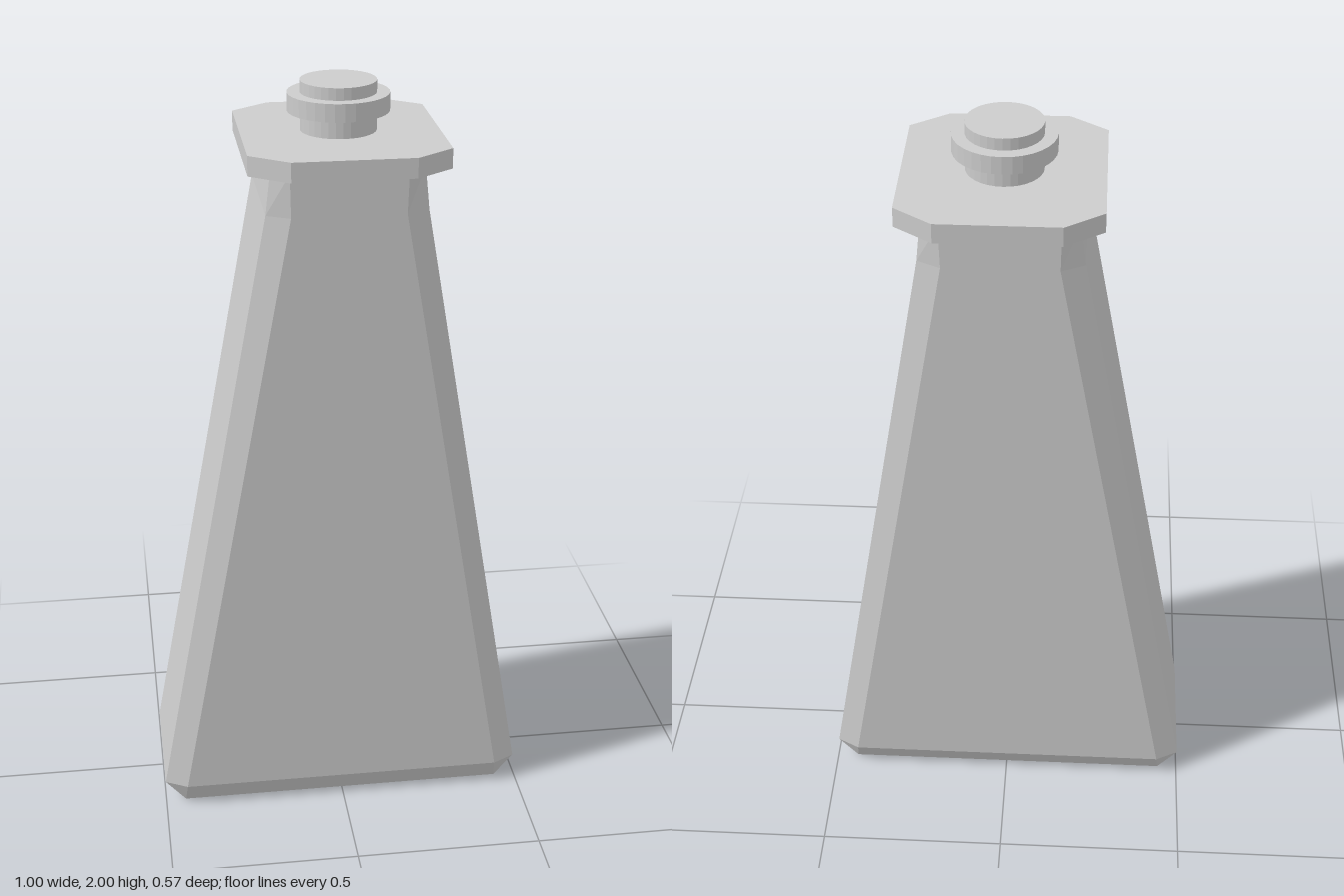
import * as THREE from 'three';

const AXIS = 0.012; // the neck sits slightly off the body's middle

// Rectangle with cut corners, as eight [x, y, z] points
function ring(y, x0, x1, z, cutX, cutZ) {
  return [
    [x1, y, -z + cutZ], [x1, y, z - cutZ], [x1 - cutX, y, z], [x0 + cutX, y, z],
    [x0, y, z - cutZ], [x0, y, -z + cutZ], [x0 + cutX, y, -z], [x1 - cutX, y, -z],
  ];
}

// Closed, flat-faced solid through rings listed from bottom to top
function loft(rings) {
  const pos = [];
  const same = (p, q) => p.every((v, k) => Math.abs(v - q[k]) < 1e-6);
  const tri = (a, b, c) => {
    if (!same(a, b) && !same(b, c) && !same(a, c)) pos.push(...a, ...b, ...c);
  };
  for (let r = 0; r < rings.length - 1; r++) {
    const a = rings[r], b = rings[r + 1];
    for (let i = 0; i < 8; i++) {
      const j = (i + 1) % 8;
      tri(a[i], b[i], a[j]);
      tri(b[i], b[j], a[j]);
    }
  }
  const bottom = rings[0], top = rings[rings.length - 1];
  for (let i = 1; i < 7; i++) {
    tri(bottom[0], bottom[i], bottom[i + 1]);
    tri(top[0], top[i + 1], top[i]);
  }
  const geo = new THREE.BufferGeometry();
  geo.setAttribute('position', new THREE.Float32BufferAttribute(pos, 3));
  geo.computeVertexNormals();
  return geo;
}

export function createModel() {
  const model = new THREE.Group();
  const grey = new THREE.MeshStandardMaterial({ color: 0xcccccc, flatShading: true });
  grey.name = 'light grey';

  const add = (name, geo, x = 0, y = 0) => {
    const mesh = new THREE.Mesh(geo, grey);
    mesh.name = name;
    mesh.position.set(x, y, 0);
    model.add(mesh);
  };
  const disc = (name, radius, y0, y1) =>
    add(name, new THREE.CylinderGeometry(radius, radius, y1 - y0, 32), AXIS, (y0 + y1) / 2);

  // Tapered body with chamfered corners and a bevelled foot
  add('body', loft([
    ring(0, -0.445, 0.442, 0.177, 0, 0),
    ring(0.062, -0.5, 0.496, 0.209, 0.06, 0.032),
    ring(1.71, -0.193, 0.216, 0.209, 0.06, 0.032),
    ring(1.822, -0.18, 0.205, 0.209, 0.045, 0.032),
  ]));

  // Flat collar plate with cut corners
  add('collarPlate', loft([1.822, 1.873].map((y) => ring(y, -0.238, 0.265, 0.284, 0.098, 0.072))));

  // Round neck and its wider ring
  disc('neck', 0.097, 1.873, 2);
  disc('neckRing', 0.13, 1.923, 1.969);

  return model;
}
